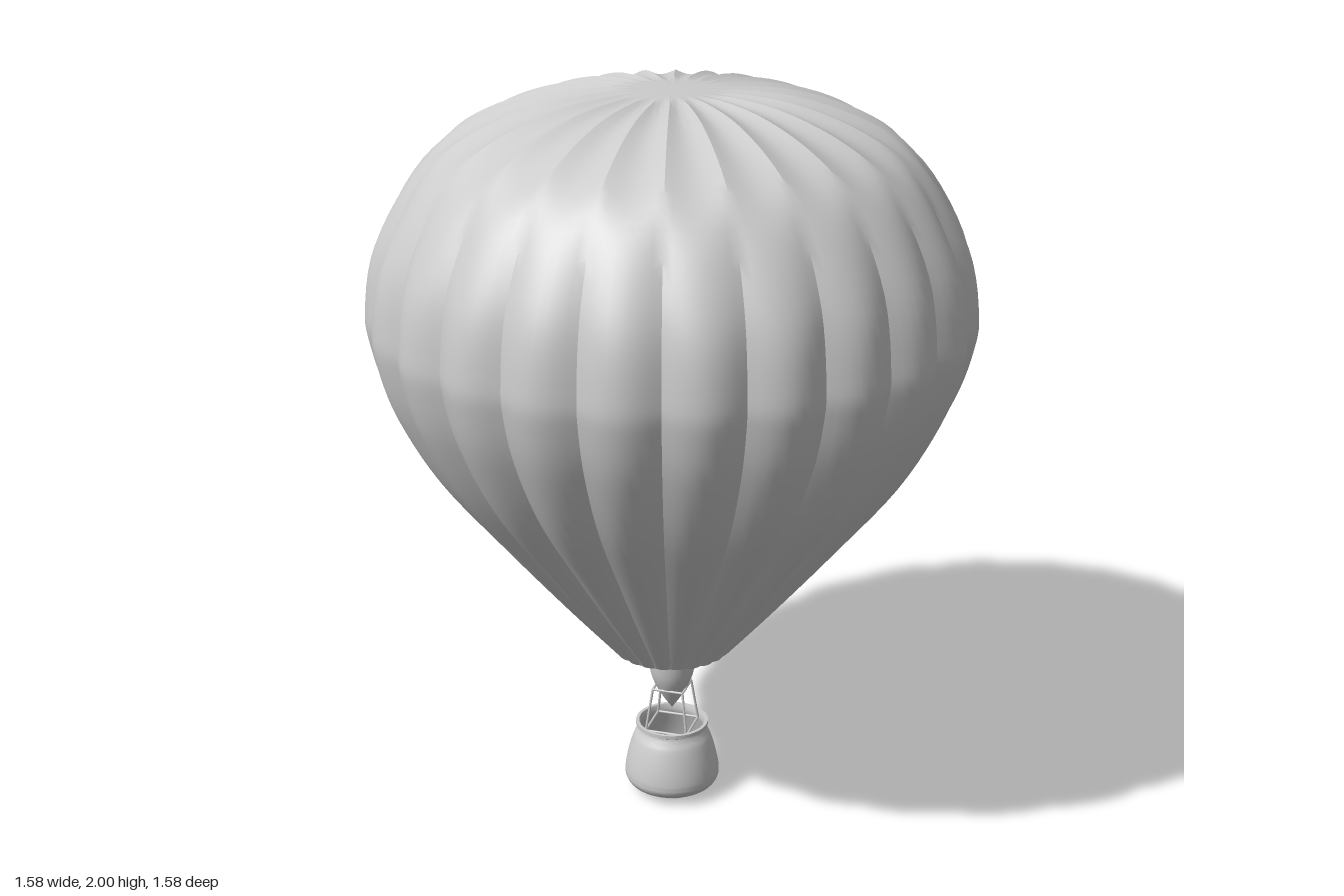
import * as THREE from 'three';
import { toCreasedNormals } from 'three/addons/utils/BufferGeometryUtils.js';

const mat = new THREE.MeshStandardMaterial({ color: 0xcccccc, side: THREE.DoubleSide });
const vecs = (list) => list.map(([r, y]) => new THREE.Vector2(r, y));
const smooth = (list, n) => new THREE.SplineCurve(vecs(list)).getPoints(n);

function add(parent, name, geometry) {
  const mesh = new THREE.Mesh(geometry, mat);
  mesh.name = name;
  parent.add(mesh);
  return mesh;
}

// Thin round bar between two points
function bar(parent, name, a, b, radius) {
  const dir = b.clone().sub(a);
  const mesh = add(parent, name, new THREE.CylinderGeometry(radius, radius, dir.length(), 8));
  mesh.position.copy(a).add(b).multiplyScalar(0.5);
  mesh.quaternion.setFromUnitVectors(new THREE.Vector3(0, 1, 0), dir.normalize());
}

// Lathe whose 24 gores bulge outward between creased seams
function envelopeGeometry() {
  const gores = 24, perGore = 8;
  const profile = smooth([
    [0.165, 0.45], [0.3, 0.605], [0.47, 0.81], [0.635, 1.02], [0.74, 1.21], [0.785, 1.35],
    [0.793, 1.45], [0.76, 1.615], [0.65, 1.8], [0.51, 1.9], [0.31, 1.972], [0.1, 2],
  ], 55);
  profile.push(new THREE.Vector2(0, 2));
  const geo = new THREE.LatheGeometry(profile, gores * perGore);
  const pos = geo.attributes.position;
  const n = profile.length;
  for (let i = 0; i < pos.count; i++) {
    const j = i % n, column = Math.floor(i / n);
    const phi = (column % (gores * perGore)) / (gores * perGore) * Math.PI * 2;
    const p = profile[j];
    if (p.x <= 0.101) continue;
    const t = profile[Math.min(j + 1, n - 1)].clone().sub(profile[Math.max(j - 1, 0)]).normalize();
    const depth = 0.042 * p.x * (1 - Math.abs(Math.sin(phi * gores / 2)));
    const r = p.x - t.y * depth;
    const y = j === 0 ? p.y : p.y + t.x * depth;
    pos.setXYZ(i, r * Math.sin(phi), p.y > 1.45 ? p.y + t.x * depth : y, r * Math.cos(phi));
  }
  // Keep every point at or below the crown
  for (let i = 0; i < pos.count; i++) {
    const p = profile[i % n];
    if (p.y > 1.45) pos.setY(i, Math.min(2, 2 * p.y - pos.getY(i)));
  }
  return toCreasedNormals(geo, 0.45);
}

export function createModel() {
  const model = new THREE.Group();
  model.name = 'hotAirBalloon';

  add(model, 'envelope', envelopeGeometry());

  // Teardrop flame reaching into the mouth
  add(model, 'flame', new THREE.LatheGeometry(smooth([
    [0, 0.25], [0.024, 0.285], [0.046, 0.325], [0.06, 0.365], [0.066, 0.42],
    [0.067, 0.46], [0.055, 0.54], [0.03, 0.61], [0, 0.67],
  ], 32), 32));

  // Round basket with a rolled rim and a hollow inside
  const basket = new THREE.Group();
  basket.name = 'basket';
  model.add(basket);
  const outer = smooth([
    [0.085, 0.019], [0.115, 0.024], [0.131, 0.045], [0.131, 0.075],
    [0.122, 0.12], [0.108, 0.165], [0.097, 0.185], [0.093, 0.196],
  ], 28);
  const rim = vecs([[0.101, 0.201], [0.101, 0.212], [0.092, 0.212], [0.087, 0.198]]);
  const inner = smooth([[0.09, 0.185], [0.112, 0.12], [0.121, 0.07], [0.105, 0.034]], 14);
  const wall = [...vecs([[0, 0.019]]), ...outer, ...rim, ...inner, ...vecs([[0, 0.032]])];
  add(basket, 'basketShell', toCreasedNormals(new THREE.LatheGeometry(wall, 40), 0.6));

  // Spoked foot under the basket
  const foot = vecs([[0.064, 0.02], [0.064, 0], [0.077, 0], [0.077, 0.011], [0.088, 0.02]]);
  add(basket, 'footRing', toCreasedNormals(new THREE.LatheGeometry(foot, 40), 0.5));
  add(basket, 'footHub', new THREE.CylinderGeometry(0.014, 0.014, 0.018, 16)).position.y = 0.011;
  for (let i = 0; i < 8; i++) {
    const a = i * Math.PI / 4;
    const spoke = add(basket, 'footSpoke', new THREE.BoxGeometry(0.058, 0.016, 0.009));
    spoke.position.set(Math.cos(a) * 0.039, 0.012, Math.sin(a) * 0.039);
    spoke.rotation.y = -a;
  }

  // Burner frame: two square rings joined by four leaning posts
  const frame = new THREE.Group();
  frame.name = 'burnerFrame';
  model.add(frame);
  const corner = (i, half, y) => {
    const a = Math.PI / 4 + i * Math.PI / 2;
    return new THREE.Vector3(Math.cos(a), 0, Math.sin(a)).multiplyScalar(half * Math.SQRT2).setY(y);
  };
  for (let i = 0; i < 4; i++) {
    bar(frame, 'post', corner(i, 0.059, 0.195), corner(i, 0.043, 0.32), 0.0035);
    bar(frame, 'lowerRail', corner(i, 0.059, 0.197), corner(i + 1, 0.059, 0.197), 0.0035);
    bar(frame, 'upperRail', corner(i, 0.043, 0.32), corner(i + 1, 0.043, 0.32), 0.0035);
  }
  return model;
}
